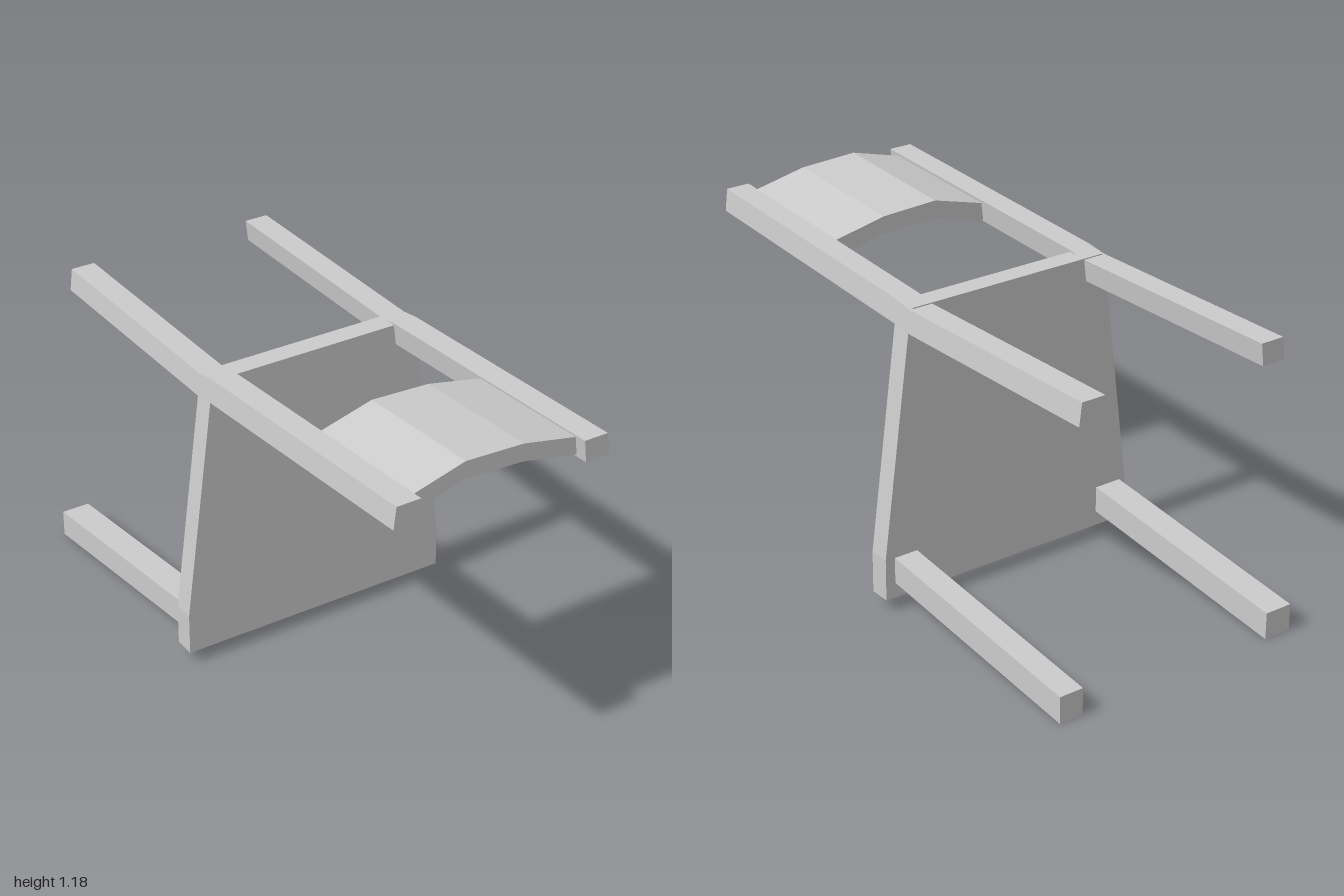
import * as THREE from 'three';

const material = new THREE.MeshStandardMaterial({ color: 0xcccccc, flatShading: true, side: THREE.DoubleSide });

function extrude(points, depth) {
  const shape = new THREE.Shape(points.map(([x, y]) => new THREE.Vector2(x, y)));
  return new THREE.ExtrudeGeometry(shape, { depth, bevelEnabled: false });
}

// Bar from a [z, y] side profile, spanning x0..x1
function sideBar(points, x0, x1) {
  return extrude(points, x1 - x0).rotateY(-Math.PI / 2).translate(x1, 0, 0);
}

// Move vertices by a rule
function deform(geometry, rule) {
  const p = geometry.attributes.position;
  const v = new THREE.Vector3();
  for (let i = 0; i < p.count; i++) {
    rule(v.fromBufferAttribute(p, i));
    p.setXYZ(i, v.x, v.y, v.z);
  }
  geometry.computeVertexNormals();
  return geometry;
}

export function createModel() {
  const chair = new THREE.Group();
  chair.name = 'chairLyingOnBack';
  const add = (name, geometry) => {
    const mesh = new THREE.Mesh(geometry, material);
    mesh.name = name;
    chair.add(mesh);
  };

  // Tapered seat panel, standing upright
  add('seat', extrude([
    [-0.51, 0.05], [0.51, 0.05], [0.51, 0.2], [0.405, 1.0],
    [0.387, 1.074], [-0.387, 1.074], [-0.405, 1.0], [-0.51, 0.2],
  ], 0.077).translate(0, 0, -0.116));

  // Bent back posts continuing into the rear legs
  const postProfile = [
    [1, 1.145], [1, 1.066], [-0.035, 1.0], [-0.11, 0.991],
    [-0.99, 0.996], [-0.99, 1.075], [-0.11, 1.07], [-0.035, 1.082],
  ];
  // Front legs
  const legProfile = [[-0.1, 0.2], [-0.1, 0.106], [-1, 0.004], [-1, 0.1]];

  for (const side of [1, -1]) {
    const label = side > 0 ? 'left' : 'right';
    const x = side * 0.355;
    // Posts lean with the tapered seat sides
    add(label + 'BackPost', deform(sideBar(postProfile, x - 0.044, x + 0.044), v => {
      v.x -= side * 0.12 * (v.y - 1.07);
    }));
    const [a, b] = side > 0 ? [0.383, 0.473] : [-0.486, -0.382];
    add(label + 'FrontLeg', sideBar(legProfile, a, b));
  }

  // Arched backrest panel, sloping with the posts
  const arch = [[-0.325, 1.126], [-0.11, 1.185], [0.105, 1.176], [0.325, 1.131]];
  const under = arch.map(([x, y]) => [x, y - 0.063]).reverse();
  add('backrest', deform(extrude([...under, ...arch], 0.5).translate(0, 0, 0.453), v => {
    v.y -= 0.062 * (0.953 - v.z);
  }));

  return chair;
}
